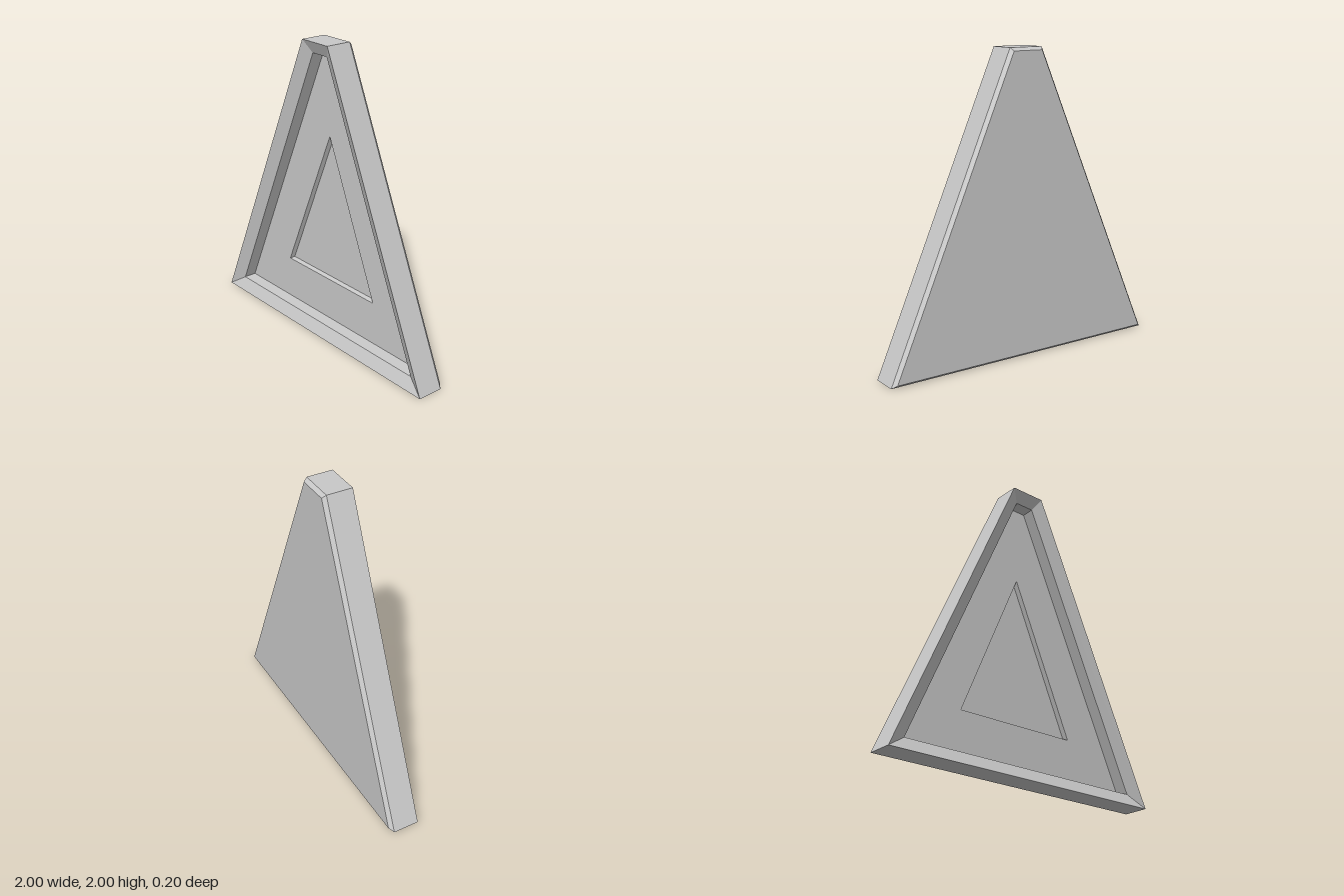
import * as THREE from 'three';

// Shrinks a convex counter-clockwise outline by moving each side inwards by d.
function inset(points, d) {
  const n = points.length;
  return points.map((p, i) => {
    const a = p.clone().sub(points[(i + n - 1) % n]).normalize();
    const b = points[(i + 1) % n].clone().sub(p).normalize();
    const na = new THREE.Vector2(-a.y, a.x);
    const nb = new THREE.Vector2(-b.y, b.x);
    return na.clone().add(nb).multiplyScalar(d / (1 + na.dot(nb))).add(p);
  });
}

// Joins insets of one outline, each given as [inset, z], with flat faces.
function loft(outline, steps) {
  const loops = steps.map(([d, z]) =>
    inset(outline, d).map((p) => [p.x, p.y, z]));
  const pos = [];
  for (let s = 0; s < loops.length - 1; s++) {
    for (let i = 0; i < outline.length; i++) {
      const j = (i + 1) % outline.length;
      const a = loops[s][i], b = loops[s][j];
      const c = loops[s + 1][j], d = loops[s + 1][i];
      pos.push(...a, ...b, ...c, ...a, ...c, ...d);
    }
  }
  const geometry = new THREE.BufferGeometry();
  geometry.setAttribute('position', new THREE.Float32BufferAttribute(pos, 3));
  geometry.computeVertexNormals();
  return geometry;
}

const outlineOf = (pairs) => pairs.map(([x, y]) => new THREE.Vector2(x, y));

export function createModel() {
  const group = new THREE.Group();
  group.name = 'triangularTray';
  const grey = new THREE.MeshStandardMaterial({ color: 0xc8c8c8 });
  grey.name = 'light grey';
  const add = (name, geometry) => {
    const mesh = new THREE.Mesh(geometry, grey);
    mesh.name = name;
    group.add(mesh);
  };

  const outer = outlineOf([[-1, 0], [1, 0], [0.12, 2], [-0.12, 2]]);
  const triangle = outlineOf([[-0.43, 0.375], [0.43, 0.375], [0, 1.38]]);
  const floorZ = -0.02, recessZ = -0.05;

  // Back chamfer, outer sides, sloping front rim and inner walls
  add('frame', loft(outer, [
    [0.02, -0.1], [0, -0.075], [0, 0.1], [0.082, 0.06], [0.088, floorZ],
  ]));

  // Flat back
  const back = new THREE.ShapeGeometry(new THREE.Shape(inset(outer, 0.02)));
  add('back', back.rotateY(Math.PI).translate(0, 0, -0.1));

  // Tray floor with the triangular opening
  const floor = new THREE.Shape(inset(outer, 0.088));
  floor.holes.push(new THREE.Path(triangle));
  add('floor', new THREE.ShapeGeometry(floor).translate(0, 0, floorZ));

  // Shallow triangular recess
  add('recessWalls', loft(triangle, [[0, floorZ], [0.008, recessZ]]));
  const recess = new THREE.Shape(inset(triangle, 0.008));
  add('recessFloor', new THREE.ShapeGeometry(recess).translate(0, 0, recessZ));

  return group;
}
